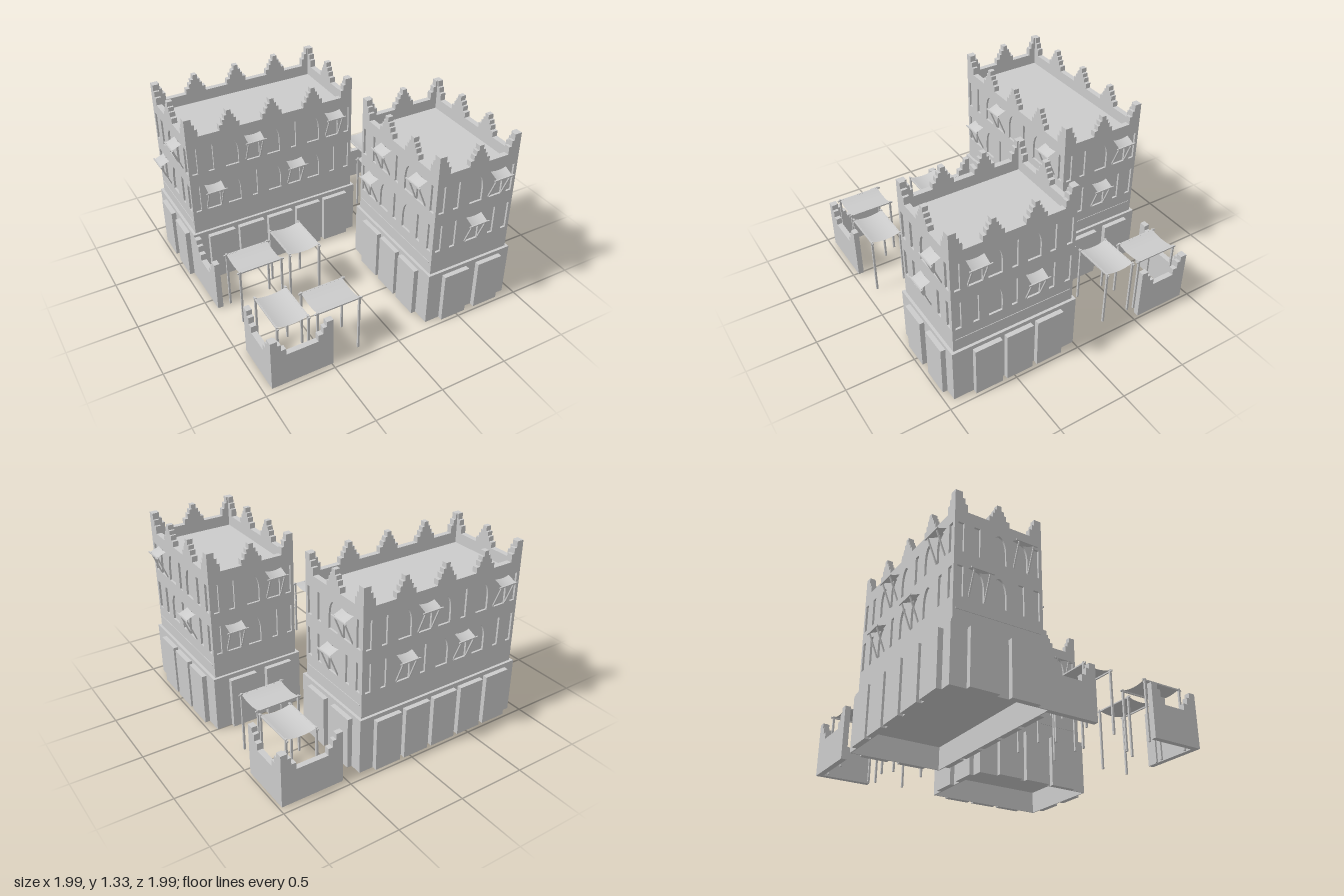
import * as THREE from 'three';

const mat = new THREE.MeshStandardMaterial({ color: 0xcccccc, flatShading: true });
const clothMat = new THREE.MeshStandardMaterial({ color: 0xcccccc, side: THREE.DoubleSide });

function add(parent, name, geo, x = 0, y = 0, z = 0, m = mat) {
  const mesh = new THREE.Mesh(geo, m);
  mesh.name = name;
  mesh.position.set(x, y, z);
  parent.add(mesh);
  return mesh;
}
function block(parent, name, w, h, d, x, y, z) {
  add(parent, name, new THREE.BoxGeometry(w, h, d), x, y + h / 2, z);
}
// Square timber of thickness t from a to b
function beam(parent, name, a, b, t) {
  const A = new THREE.Vector3(...a), dir = new THREE.Vector3(...b).sub(A);
  const mesh = add(parent, name, new THREE.BoxGeometry(t, dir.length(), t));
  mesh.position.copy(A).addScaledVector(dir, 0.5);
  mesh.quaternion.setFromUnitVectors(new THREE.Vector3(0, 1, 0), dir.normalize());
}
function trace(path, pts) {
  pts.forEach(([x, y], i) => (i ? path.lineTo(x, y) : path.moveTo(x, y)));
  path.closePath();
  return path;
}
const rect = (w, h) => [[-w / 2, -h / 2], [w / 2, -h / 2], [w / 2, h / 2], [-w / 2, h / 2]];
const extrude = (shape, depth) => new THREE.ExtrudeGeometry(shape, { depth, bevelEnabled: false, curveSegments: 10 });

// Rectangular frame of wall of thickness t, open above and below
function ring(parent, name, w, d, t, y, h) {
  const s = trace(new THREE.Shape(), rect(w, d));
  s.holes.push(trace(new THREE.Path(), rect(w - 2 * t, d - 2 * t)));
  add(parent, name, extrude(s, h).rotateX(-Math.PI / 2), 0, y, 0);
}

// Cloth w along x and d along z, sagging across x and falling by slope along z
function cloth(parent, name, w, d, sag, slope, x, y, z) {
  const g = new THREE.PlaneGeometry(w, d, 8, 4).rotateX(-Math.PI / 2);
  const p = g.attributes.position;
  for (let i = 0; i < p.count; i++) {
    const u = (2 * p.getX(i)) / w, v = p.getZ(i) / d + 0.5;
    p.setY(i, -sag * (1 - u * u) - slope * v);
  }
  g.computeVertexNormals();
  add(parent, name, g, x, y, z, clothMat);
}

// Small shade over a window, on two slanted struts
function windowAwning(parent, u, floorY) {
  const g = new THREE.Group();
  g.name = 'windowAwning';
  g.position.set(u, floorY, 0);
  cloth(g, 'awningCloth', 0.125, 0.07, 0.01, 0.03, 0, 0.208, 0.035);
  beam(g, 'awningBar', [-0.08, 0.175, 0.07], [0.08, 0.175, 0.07], 0.009);
  for (const s of [-1, 1])
    beam(g, 'awningStrut', [s * 0.055, 0.01, 0], [s * 0.055, 0.178, 0.066], 0.009);
  parent.add(g);
}

// One outer wall with two floors of arched and narrow recesses
const FLOORS = [0.585, 0.895];
function facade(parent, len, slots, gap, awnings, panels) {
  const s = trace(new THREE.Shape(), [[-len / 2, 0.4], [len / 2, 0.4], [len / 2, 1.11], [-len / 2, 1.11]]);
  const narrow = (u, y) => s.holes.push(trace(new THREE.Path(),
    [[u - 0.021, y], [u + 0.021, y], [u + 0.021, y + 0.21], [u - 0.021, y + 0.21]]));
  FLOORS.forEach((y, f) => {
    for (let i = 0; i < slots; i++) {
      const u = (i - (slots - 1) / 2) * gap;
      if (awnings[f].includes(i) || i % 2) {
        const a = new THREE.Path();
        a.moveTo(u - 0.05, y);
        a.lineTo(u + 0.05, y);
        a.lineTo(u + 0.05, y + 0.09);
        a.absellipse(u, y + 0.09, 0.05, 0.115, 0, Math.PI, false, 0);
        a.closePath();
        s.holes.push(a);
      } else narrow(u, y);
      if (awnings[f].includes(i)) windowAwning(parent, u, y);
    }
    for (const e of [-1, 1]) narrow(e * (len / 2 - 0.045), y);
  });
  add(parent, 'facadeWall', extrude(s, 0.015), 0, 0, -0.015);
  // Raised panels on the ground floor
  const step = panels === 2 ? 0.28 : 0.235;
  for (let i = 0; i < panels; i++)
    block(parent, 'basePanel', 0.2, 0.38, 0.041, (i - (panels - 1) / 2) * step + 0.012, 0, 0.0345);
}

// Stepped merlons: [extent, bottom, top] of each tier
const TIERS = [[0.075, 0, 0.04], [0.05, 0.04, 0.075], [0.034, 0.075, 0.105], [0.017, 0.105, 0.14]];
const CORNER_TIERS = [[0.09, 0, 0.055], [0.07, 0.055, 0.095], [0.052, 0.095, 0.14]];

function building(name, cx, cz, w, d, sides) {
  const b = new THREE.Group();
  b.name = name;
  b.position.set(cx, 0, cz);
  // Hollow ground floor with a ceiling inside, then the solid core up to the roof
  ring(b, 'groundFloorWall', w + 0.04, d + 0.04, 0.008, 0, 0.41);
  block(b, 'groundFloorCeiling', w + 0.03, 0.24, d + 0.03, 0, 0.17, 0);
  block(b, 'coreAndRoof', w - 0.03, 0.71, d - 0.03, 0, 0.4, 0);
  ring(b, 'parapet', w, d, 0.04, 1.1, 0.09);
  sides.forEach((s, k) => {
    const len = k % 2 ? d : w, off = (k % 2 ? w : d) / 2;
    const g = new THREE.Group();
    g.name = ['front', 'left', 'back', 'right'][k] + 'Side';
    g.rotation.y = (k * Math.PI) / 2;
    g.position.set([0, off, 0, -off][k], 0, [off, 0, -off, 0][k]);
    facade(g, len, s.slots, s.gap, s.awnings, s.panels);
    if (k % 2) block(g, 'stringCourse', len - 0.04, 0.008, 0.006, 0, 0.496, 0.001);
    for (let i = 1; i <= s.merlons; i++)
      for (const [e, lo, hi] of TIERS)
        block(g, 'merlon', 2 * e, hi - lo, 0.04, -len / 2 + (len * i) / (s.merlons + 1), 1.19 + lo, -0.02);
    for (const e of [-1, 1])
      for (const [ext, lo, hi] of CORNER_TIERS)
        block(g, 'cornerMerlon', ext, hi - lo, 0.04, e * (len - ext) / 2, 1.19 + lo, -0.02);
    b.add(g);
  });
  return b;
}

// Low yard wall with stepped ends, from (x, z) along x or z
function yardWall(parent, x, z, len, alongZ) {
  const up = [[0, 0.39], [0.05, 0.39], [0.05, 0.35], [0.075, 0.35], [0.075, 0.3], [0.11, 0.3], [0.11, 0.25]];
  const down = up.map(([u, y]) => [len - u, y]).reverse();
  const g = extrude(trace(new THREE.Shape(), [[len, 0], [0, 0], ...up, ...down].reverse()), 0.04);
  if (alongZ) g.rotateY(-Math.PI / 2).translate(0.04, 0, 0);
  add(parent, 'yardWall', g, x, 0, z);
}

// Market canopy on four poles; bars lie along the long side, the cloth sags between them
function canopy(parent, x0, x1, z0, z1) {
  const g = new THREE.Group();
  g.name = 'canopy';
  g.position.set((x0 + x1) / 2, 0, (z0 + z1) / 2);
  const w = x1 - x0, d = z1 - z0;
  if (w > d) g.rotation.y = Math.PI / 2;
  const a = Math.min(w, d) / 2, c = Math.max(w, d) / 2;
  cloth(g, 'canopyCloth', 2 * a, 2 * c, 0.018, 0, 0, 0.443, 0);
  for (const s of [-1, 1]) {
    beam(g, 'canopyBar', [s * a, 0.437, -c - 0.02], [s * a, 0.437, c + 0.02], 0.01);
    for (const t of [-1, 1]) beam(g, 'canopyPole', [s * a, 0, t * c], [s * a, 0.448, t * c], 0.014);
  }
  parent.add(g);
}

export function createModel() {
  const root = new THREE.Group();
  root.name = 'marketBuildings';
  // Sides in order +z, +x, -z, -x; awnings are slot numbers per floor
  const side = (slots, gap, panels, merlons, lower, upper) =>
    ({ slots, gap, panels, merlons, awnings: [lower, upper] });
  root.add(building('longBuilding', -0.275, -0.6, 1.29, 0.64, [
    side(7, 0.16, 5, 3, [0, 4], [2, 6]),
    side(3, 0.16, 2, 1, [1], [2]),
    side(7, 0.16, 5, 3, [1, 4], [2, 6]),
    side(3, 0.16, 2, 1, [0], [2]),
  ]));
  root.add(building('shortBuilding', 0.6, 0.47, 0.64, 0.9, [
    side(3, 0.16, 2, 1, [1], [2]),
    side(5, 0.14, 3, 2, [3], [0]),
    side(3, 0.16, 2, 1, [0], [2]),
    side(5, 0.14, 3, 2, [0], [1, 4]),
  ]));

  // Yard walls: one straight, two L-shaped
  yardWall(root, -0.94, -0.27, 0.37, true);
  yardWall(root, -0.94, 0.57, 0.39, true);
  yardWall(root, -0.94, 0.92, 0.45, false);
  yardWall(root, 0.94, -0.945, 0.4, true);
  yardWall(root, 0.525, -0.945, 0.455, false);

  for (const c of [
    [0.68, 0.9, -0.88, -0.57], [0.59, 0.89, -0.52, -0.3], [-0.84, -0.53, 0.09, 0.31],
    [-0.46, -0.23, 0, 0.3], [-0.86, -0.64, 0.59, 0.9], [-0.58, -0.27, 0.69, 0.91],
  ]) canopy(root, ...c);
  return root;
}
